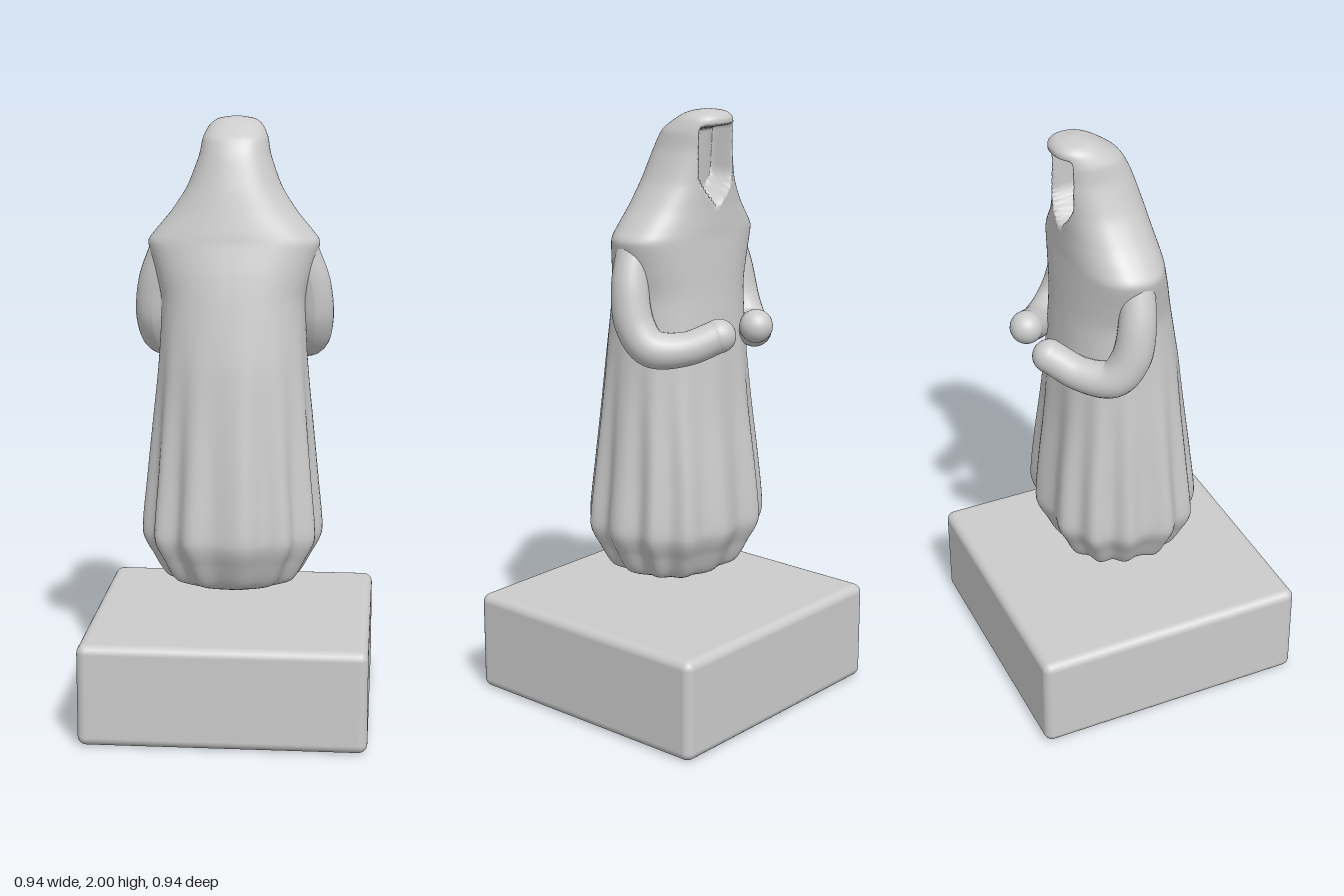
import * as THREE from 'three';
import { RoundedBoxGeometry } from 'three/addons/geometries/RoundedBoxGeometry.js';

const material = new THREE.MeshStandardMaterial({ color: 0xcccccc, side: THREE.DoubleSide });
const { smoothstep } = THREE.MathUtils;

function addMesh(parent, name, geometry) {
  const mesh = new THREE.Mesh(geometry, material);
  mesh.name = name;
  parent.add(mesh);
  return mesh;
}

// Robe sections: height, half width, z of the back, z of the face side
const SECTIONS = [
  [0.41, 0.0, 0.0, 0.0],
  [0.43, 0.12, 0.1, -0.11],
  [0.465, 0.21, 0.18, -0.195],
  [0.54, 0.255, 0.22, -0.235],
  [0.62, 0.29, 0.247, -0.268],
  [0.8, 0.277, 0.23, -0.255],
  [1.0, 0.262, 0.208, -0.232],
  [1.2, 0.247, 0.187, -0.215],
  [1.4, 0.24, 0.155, -0.2],
  [1.5, 0.262, 0.135, -0.195],
  [1.59, 0.285, 0.112, -0.19],
  [1.63, 0.26, 0.104, -0.19],
  [1.69, 0.21, 0.09, -0.19],
  [1.77, 0.158, 0.07, -0.195],
  [1.87, 0.12, 0.038, -0.205],
  [1.93, 0.108, 0.005, -0.212],
  [1.97, 0.088, -0.05, -0.215],
  [1.99, 0.06, -0.09, -0.195],
  [2.0, 0.0, -0.145, -0.145],
];

function robeGeometry() {
  const widths = new THREE.CatmullRomCurve3(SECTIONS.map(([y, w]) => new THREE.Vector3(w, y, 0)));
  const depths = new THREE.CatmullRomCurve3(SECTIONS.map(([y, , b, f]) => new THREE.Vector3(b, y, f)));
  widths.curveType = depths.curveType = 'catmullrom';
  widths.tension = depths.tension = 0.35;
  const rows = 126, cols = 144, positions = [], index = [];
  const round = (v) => Math.sign(v) * Math.abs(v) ** 0.87;

  for (let i = 0; i <= rows; i++) {
    const { x: w, y } = widths.getPoint(i / rows);
    const { x: back, z: front } = depths.getPoint(i / rows);
    const mid = (back + front) / 2, half = (back - front) / 2;
    // Pleats fade out towards the waist
    const pleat = 0.045 * (1 - smoothstep(y, 0.65, 1.4)) * smoothstep(y, 0.41, 0.47);
    for (let j = 0; j < cols; j++) {
      const a = (j / cols) * Math.PI * 2;
      const fold = 1 + pleat * (Math.cos(13 * a + 0.5 * Math.sin(2 * a)) + 0.35 * Math.sin(5 * a));
      const x = w * round(Math.cos(a)) * fold;
      let z = mid + half * round(Math.sin(a)) * fold;
      // Hollow face opening, pointed at the chin
      if (Math.sin(a) < 0) {
        const open = 0.078 * smoothstep(y, 1.67, 1.8);
        const inside = 1 - smoothstep(Math.abs(x), open - 0.012, open + 0.006);
        const tall = smoothstep(y, 1.68, 1.74) * (1 - smoothstep(y, 1.93, 1.955));
        z += 0.085 * inside * tall;
      }
      positions.push(x, y, z);
    }
  }
  for (let i = 0; i < rows; i++) {
    for (let j = 0; j < cols; j++) {
      const k = (j + 1) % cols, a = i * cols, b = a + cols;
      index.push(a + j, b + j, a + k, a + k, b + j, b + k);
    }
  }
  const geometry = new THREE.BufferGeometry();
  geometry.setAttribute('position', new THREE.Float32BufferAttribute(positions, 3));
  geometry.setIndex(index);
  geometry.computeVertexNormals();
  return geometry;
}

// Bent sleeve whose radius varies along its path
function buildArm(side) {
  const arm = new THREE.Group();
  arm.name = side > 0 ? 'leftArm' : 'rightArm';
  const path = new THREE.CatmullRomCurve3([
    [0.225, 1.57, -0.03], [0.262, 1.45, -0.045], [0.268, 1.33, -0.07],
    [0.25, 1.26, -0.12], [0.18, 1.255, -0.2], [0.095, 1.295, -0.275],
  ].map(([x, y, z]) => new THREE.Vector3(side * x, y, z)));
  const radii = [0.055, 0.06, 0.064, 0.062, 0.055, 0.054];
  const steps = 48, sides = 24;
  const geometry = new THREE.TubeGeometry(path, steps, 1, sides);
  const pos = geometry.attributes.position, p = new THREE.Vector3();
  for (let i = 0; i < pos.count; i++) {
    const u = Math.floor(i / (sides + 1)) / steps;
    const t = u * (radii.length - 1), k = Math.min(Math.floor(t), radii.length - 2);
    const radius = THREE.MathUtils.lerp(radii[k], radii[k + 1], t - k);
    const centre = path.getPointAt(u);
    p.fromBufferAttribute(pos, i).sub(centre).multiplyScalar(radius).add(centre);
    pos.setXYZ(i, p.x, p.y, p.z);
  }
  geometry.computeVertexNormals();
  addMesh(arm, 'sleeve', geometry);
  addMesh(arm, 'hand', new THREE.SphereGeometry(0.055, 24, 16)).position.copy(path.getPoint(1));
  addMesh(arm, 'shoulder', new THREE.SphereGeometry(0.055, 24, 16)).position.copy(path.getPoint(0));
  return arm;
}

export function createModel() {
  const model = new THREE.Group();
  model.name = 'hoodedStatue';
  addMesh(model, 'plinth', new RoundedBoxGeometry(0.94, 0.34, 0.94, 4, 0.03)).position.y = 0.17;
  addMesh(model, 'hoodedRobe', robeGeometry());
  for (const side of [-1, 1]) model.add(buildArm(side));
  return model;
}
